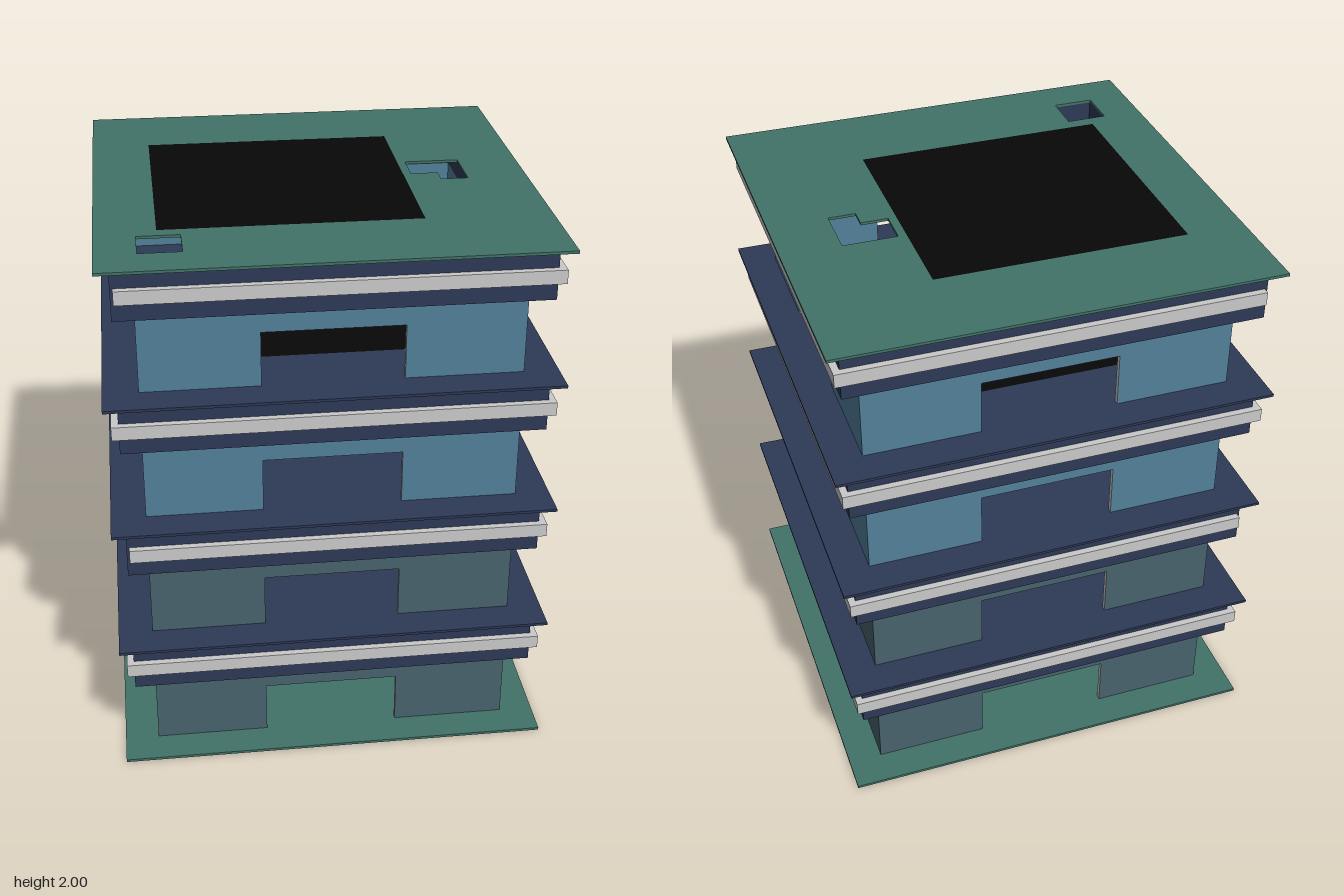
import * as THREE from 'three';

const mat = (name, color) => {
  const m = new THREE.MeshStandardMaterial({ color });
  m.name = name;
  return m;
};

const SLAB = 0.795, BAND = 0.745, WALL = 0.67, TRIM = 0.77;
const PITCH = 0.4975, THICK = 0.01, WALL_T = 0.02;

// Outlines in x, z
const rect = (x0, x1, z0, z1) => [[x0, z0], [x1, z0], [x1, z1], [x0, z1]];
const square = (h) => rect(-h, h, -h, h);
const SHAFT = rect(-0.65, -0.5, 0.495, 0.645);
const STAIR = [[0.375, -0.14], [0.575, -0.14], [0.575, 0.06], [0.475, 0.06], [0.475, -0.01], [0.375, -0.01]];
const PANEL = rect(-0.58, 0.345, -0.45, 0.445);

// Horizontal plate with holes, its top at y
function plate(name, outline, holes, y, depth, material) {
  const pts = (list) => list.map(([x, z]) => new THREE.Vector2(x, z));
  const shape = new THREE.Shape(pts(outline));
  shape.holes = holes.map((h) => new THREE.Path(pts(h)));
  const geo = new THREE.ExtrudeGeometry(shape, { depth, bevelEnabled: false });
  geo.rotateX(Math.PI / 2);
  const mesh = new THREE.Mesh(geo, material);
  mesh.name = name;
  mesh.position.y = y;
  return mesh;
}

function box(name, x0, x1, y0, y1, z0, z1, material) {
  const mesh = new THREE.Mesh(new THREE.BoxGeometry(x1 - x0, y1 - y0, z1 - z0), material);
  mesh.name = name;
  mesh.position.set((x0 + x1) / 2, (y0 + y1) / 2, (z0 + z1) / 2);
  return mesh;
}

// One wall facing +z with an opening that reaches the floor; reveals are grey
function wallSide(y, wall, grey) {
  const side = new THREE.Group();
  side.name = 'wall';
  const z0 = WALL - WALL_T, top = y + 0.305, head = y + 0.202;
  const faces = (i) => Array.from({ length: 6 }, (_, k) => (k === i ? grey : wall));
  side.add(
    box('rightPier', -WALL, -0.25, y, top, z0, WALL, faces(0)),
    box('leftPier', 0.25, WALL, y, top, z0, WALL, faces(1)),
    box('lintel', -0.25, 0.25, head, top, z0, WALL, faces(3)),
  );
  return side;
}

export function createModel() {
  const green = mat('green slab', 0x427368);
  const navy = mat('navy band', 0x2d3956);
  const lower = mat('slate wall', 0x48636d);
  const upper = mat('blue wall', 0x528099);
  const grey = mat('light grey trim', 0xcacaca);
  const black = mat('black panel', 0x080808);

  const model = new THREE.Group();
  model.name = 'tower';
  model.add(plate('groundSlab', square(SLAB), [], THICK, THICK, green));

  for (let i = 0; i < 4; i++) {
    const y = THICK + i * PITCH;
    const top = y + PITCH;
    const storey = new THREE.Group();
    storey.name = `storey${i + 1}`;

    // Four walls with openings
    for (let k = 0; k < 4; k++) {
      const side = wallSide(y, i < 2 ? lower : upper, grey);
      side.rotation.y = (k * Math.PI) / 2;
      storey.add(side);
    }

    // Projecting hollow band under the slab
    storey.add(plate('band', square(BAND), [square(WALL - WALL_T)], top - THICK, PITCH - THICK - 0.303, navy));

    // Trim strip; every second storey leaves the -x side bare
    const y0 = y + 0.37, y1 = y + 0.42;
    const end = i % 2 ? -0.735 : -TRIM;
    const inner = BAND - 0.005;
    storey.add(
      box('frontTrim', end, TRIM, y0, y1, inner, TRIM, grey),
      box('backTrim', end, TRIM, y0, y1, -TRIM, -inner, grey),
      box('leftTrim', inner, TRIM, y0, y1, -inner, inner, grey),
    );
    if (i % 2 === 0) storey.add(box('rightTrim', -TRIM, -inner, y0, y1, -inner, inner, grey));

    // Slab with shaft; the upper two also have a stair opening and a black panel
    const holes = i < 2 ? [SHAFT] : [SHAFT, STAIR, PANEL];
    storey.add(plate(i === 3 ? 'roofSlab' : 'floorSlab', square(SLAB), holes, top, THICK, i === 3 ? green : navy));
    if (i >= 2) storey.add(plate('blackPanel', PANEL, [], top, THICK, black));

    model.add(storey);
  }
  return model;
}
